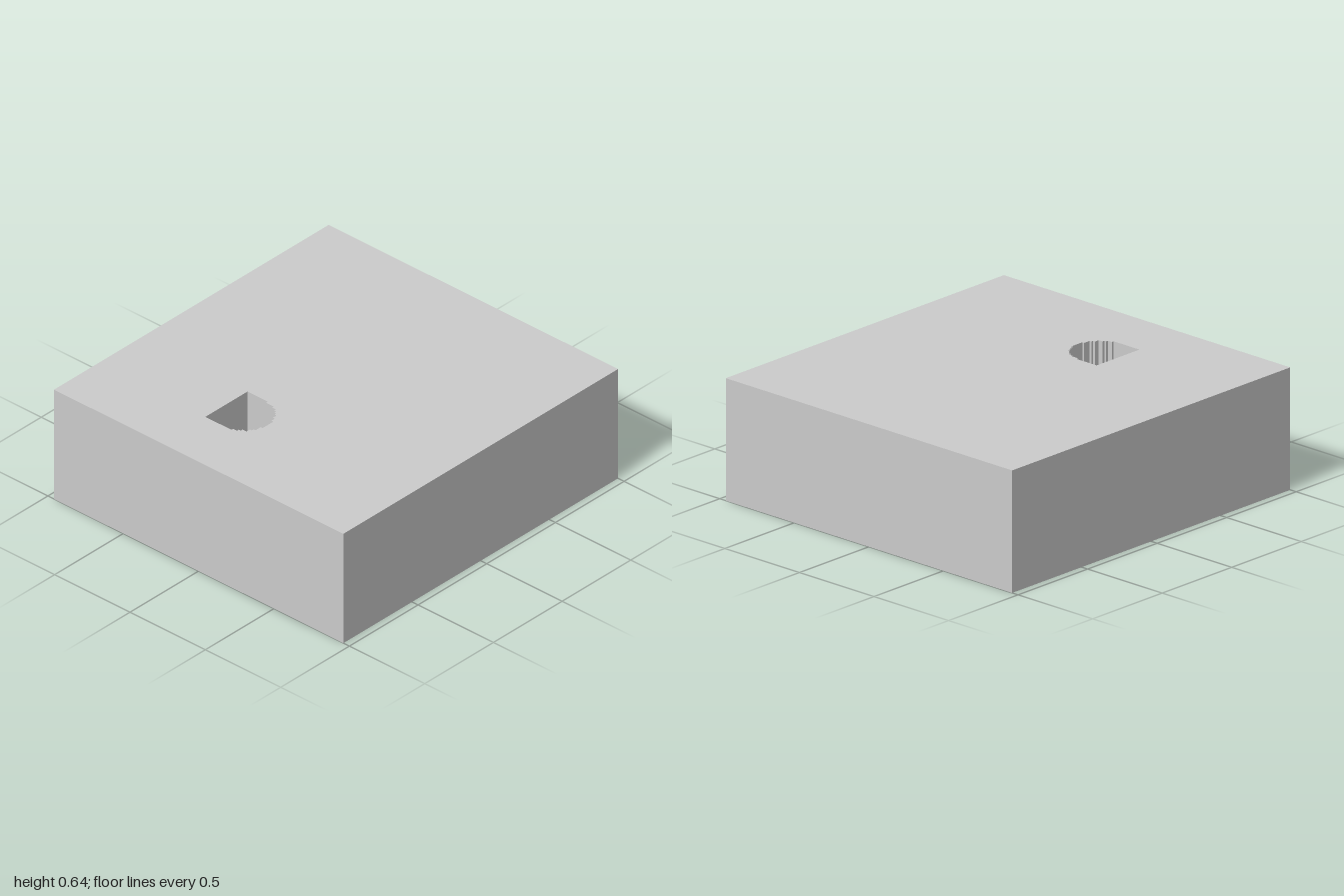
import * as THREE from 'three';

const WIDTH = 2, DEPTH = 1.92, HEIGHT = 0.64;

// D-shaped hole: straight back edge, rounded front cut in fine steps
function steppedHole() {
  const left = -0.68, back = -0.247, columns = 24, step = 0.0128;
  const centreX = -0.53, centreZ = -0.125, radius = 0.152;
  const hole = new THREE.Path();
  hole.moveTo(left, -back);
  for (let i = 0; i < columns; i++) {
    const x = left + i * step;
    const dx = x + step / 2 - centreX;
    const reach = Math.sqrt(Math.max(0, radius * radius - dx * dx));
    const z = centreZ + Math.round(reach / step) * step;
    hole.lineTo(x, -z);
    hole.lineTo(x + step, -z);
  }
  hole.lineTo(left + columns * step, -back);
  hole.closePath();
  return hole;
}

export function createModel() {
  const group = new THREE.Group();
  group.name = 'blockWithHole';

  // Rectangular block, outlined in plan (shape y is -z)
  const plan = new THREE.Shape();
  plan.moveTo(-WIDTH / 2, -DEPTH / 2);
  plan.lineTo(WIDTH / 2, -DEPTH / 2);
  plan.lineTo(WIDTH / 2, DEPTH / 2);
  plan.lineTo(-WIDTH / 2, DEPTH / 2);
  plan.closePath();
  plan.holes.push(steppedHole());

  const geometry = new THREE.ExtrudeGeometry(plan, { depth: HEIGHT, bevelEnabled: false });
  geometry.rotateX(-Math.PI / 2);

  const block = new THREE.Mesh(
    geometry,
    new THREE.MeshStandardMaterial({ color: 0xcccccc, flatShading: true })
  );
  block.name = 'block';
  group.add(block);
  return group;
}
